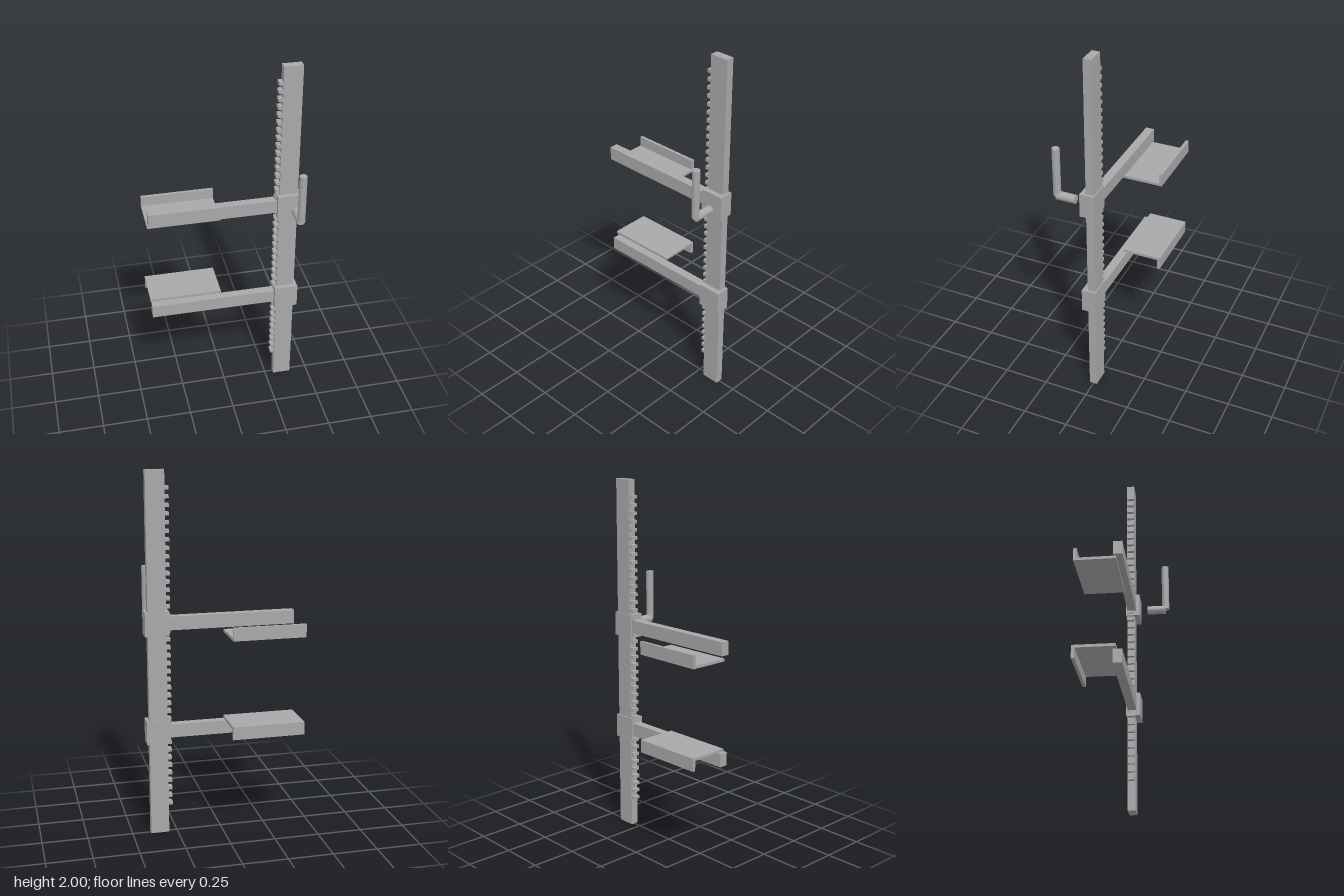
import * as THREE from 'three';

export function createModel() {
  const root = new THREE.Group();
  root.name = 'rackSpreader';

  const steel = new THREE.MeshStandardMaterial({ color: 0xa8a8a8 });
  steel.name = 'steel grey';

  // box given by its minimum and maximum on each axis
  function box(name, parent, [x0, x1], [y0, y1], [z0, z1]) {
    const mesh = new THREE.Mesh(new THREE.BoxGeometry(x1 - x0, y1 - y0, z1 - z0), steel);
    mesh.position.set((x0 + x1) / 2, (y0 + y1) / 2, (z0 + z1) / 2);
    mesh.name = name;
    parent.add(mesh);
    return mesh;
  }

  // upright bar with its row of rack teeth
  box('rackBar', root, [0.297, 0.398], [0, 2], [-0.02, 0.023]);
  const teeth = new THREE.Group();
  teeth.name = 'rackTeeth';
  root.add(teeth);
  for (let i = 0; i < 40; i++) {
    const y = 0.17 + i * 0.04455;
    box('tooth', teeth, [0.275, 0.298], [y - 0.009, y + 0.009], [-0.018, 0.021]);
  }

  // collar, arm and angled blade; dir = 1 has the blade lip pointing up
  function retractor(name, midY, dir) {
    const g = new THREE.Group();
    g.name = name;
    const span = (a, b) => [midY + dir * a, midY + dir * b].sort((p, q) => p - q);
    box('collar', g, [0.282, 0.413], span(-0.066, 0.066), [-0.026, 0.052]);
    box('arm', g, [-0.411, 0.283], span(-0.038, 0.036), [-0.016, 0.032]);
    box('bladePlate', g, [-0.416, -0.018], span(-0.066, -0.051), [-0.222, 0]);
    box('bladeLip', g, [-0.416, -0.018], span(-0.066, 0.005), [-0.222, -0.205]);
    root.add(g);
  }
  retractor('upperRetractor', 1.194, 1);
  retractor('lowerRetractor', 0.59, -1);

  // crank: short shaft towards the front and an upright grip
  const crank = new THREE.Group();
  crank.name = 'crank';
  const shaft = new THREE.Mesh(new THREE.CylinderGeometry(0.024, 0.024, 0.106, 12), steel);
  shaft.name = 'crankShaft';
  shaft.rotation.x = Math.PI / 2;
  shaft.position.set(0.37, 1.195, 0.144);
  const grip = new THREE.Mesh(new THREE.CylinderGeometry(0.021, 0.021, 0.273, 10), steel);
  grip.name = 'crankGrip';
  grip.position.set(0.37, 1.3335, 0.197);
  crank.add(shaft, grip);
  root.add(crank);

  return root;
}
